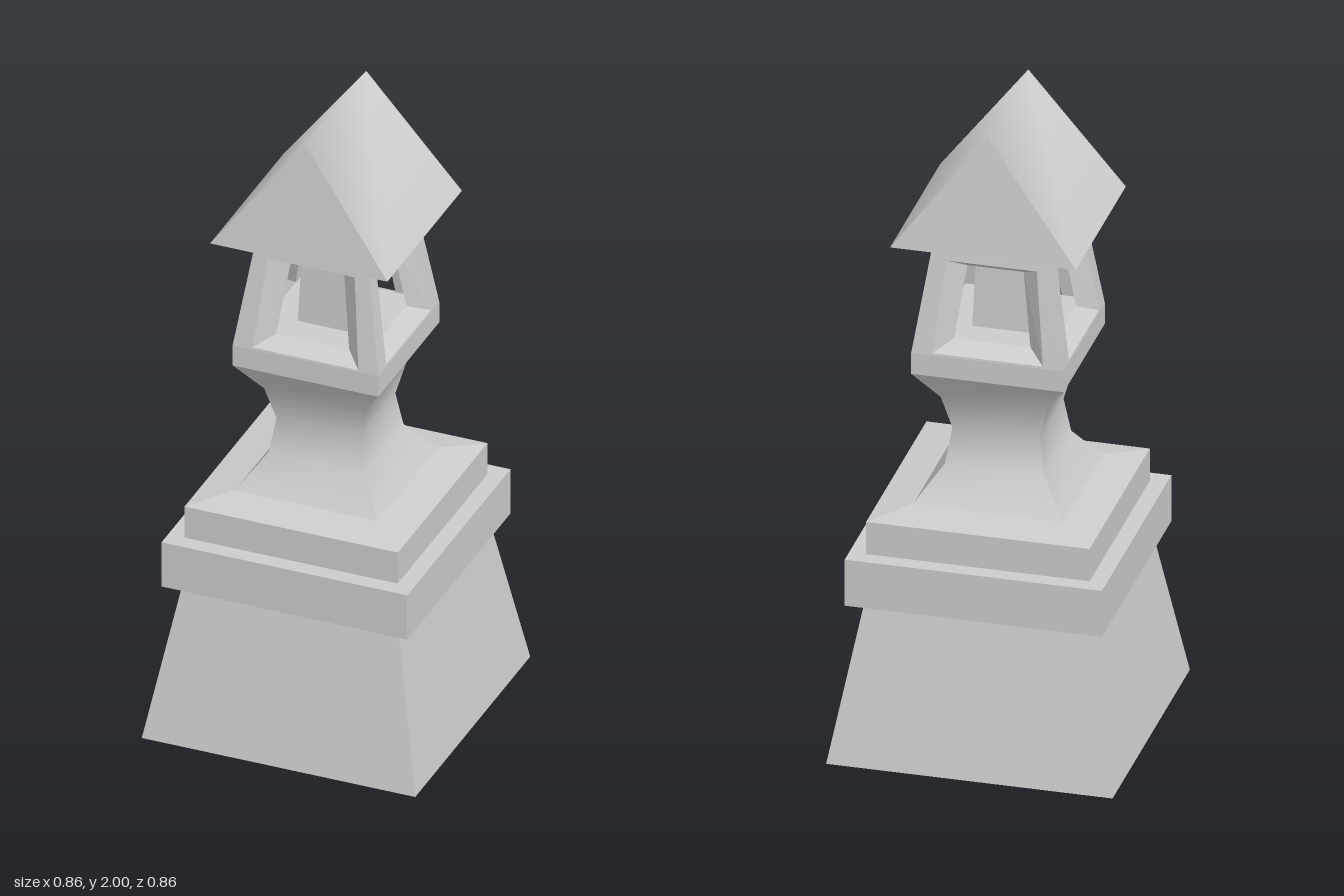
import * as THREE from 'three';
import { mergeGeometries } from 'three/addons/utils/BufferGeometryUtils.js';

const smoothMat = new THREE.MeshStandardMaterial({ color: 0xcccccc });
const flatMat = new THREE.MeshStandardMaterial({ color: 0xcccccc, flatShading: true });

// Square block, tapering from half-width h0 at y0 to h1 at y1
function block(name, y0, h0, y1, h1) {
  const geo = new THREE.CylinderGeometry(h1 * Math.SQRT2, h0 * Math.SQRT2, y1 - y0, 4);
  geo.rotateY(Math.PI / 4).translate(0, (y0 + y1) / 2, 0);
  const mesh = new THREE.Mesh(geo, flatMat);
  mesh.name = name;
  return mesh;
}

// Surface through rows of points; vertices are shared so normals blend along it
function skin(rows, closed = false) {
  const n = rows[0].length;
  const index = [];
  for (let r = 0; r < rows.length - 1; r++) {
    for (let i = 0; i < (closed ? n : n - 1); i++) {
      const j = (i + 1) % n;
      const a = r * n + i, b = r * n + j, c = b + n, d = a + n;
      index.push(a, b, c, a, c, d);
    }
  }
  const geo = new THREE.BufferGeometry();
  geo.setAttribute('position', new THREE.Float32BufferAttribute(rows.flat(2), 3));
  geo.setIndex(index);
  geo.computeVertexNormals();
  return geo;
}

// Repeat one side evenly around the vertical axis
function around(geo, count) {
  const copies = [];
  for (let k = 0; k < count; k++) copies.push(geo.clone().rotateY((k * 2 * Math.PI) / count));
  return mergeGeometries(copies);
}

// Four corners of an upright panel: bottom and top given as [y, half-width, z]
function panelLoop([y0, h0, z0], [y1, h1, z1]) {
  return [[-h0, y0, z0], [h0, y0, z0], [h1, y1, z1], [-h1, y1, z1]];
}

export function createModel() {
  const model = new THREE.Group();
  model.name = 'stoneLantern';
  const add = (name, geo, mat, parent = model) => {
    const mesh = new THREE.Mesh(geo, mat);
    mesh.name = name;
    parent.add(mesh);
  };

  // Stepped pedestal
  model.add(
    block('pedestal', 0, 0.432, 0.5, 0.34),
    block('pedestalBand', 0.5, 0.388, 0.65, 0.388),
    block('pedestalStep', 0.65, 0.337, 0.755, 0.337),
    block('pedestalChamfer', 0.755, 0.337, 0.775, 0.228),
  );

  // Waisted neck: smooth vertically, sharp at the four corners
  const neckProfile = [[0.225, 0.775], [0.15, 0.88], [0.132, 0.99], [0.16, 1.1], [0.23, 1.2]];
  const neckSide = skin(neckProfile.map(([h, y]) => [[-h, y, h], [h, y, h]]));
  add('neck', around(neckSide, 4), smoothMat);

  // Lantern housing with splayed window openings on all sides
  const lantern = new THREE.Group();
  lantern.name = 'lantern';
  model.add(lantern);
  lantern.add(block('lanternSill', 1.2, 0.23, 1.268, 0.23));
  const wall = skin([
    panelLoop([1.268, 0.23, 0.23], [1.63, 0.175, 0.175]),
    panelLoop([1.275, 0.167, 0.229], [1.56, 0.137, 0.186]),
    panelLoop([1.305, 0.115, 0.175], [1.53, 0.085, 0.14]),
    panelLoop([1.305, 0.175, 0.175], [1.53, 0.14, 0.14]),
  ], true);
  add('lanternWalls', around(wall, 4), flatMat, lantern);
  lantern.add(
    block('lanternFloor', 1.268, 0.175, 1.305, 0.175),
    block('lanternCeiling', 1.53, 0.14, 1.63, 0.14),
    block('lanternCore', 1.305, 0.085, 1.53, 0.076),
  );

  // Gabled roof: slopes blend over the ridge, gable ends lean inward
  const e = 0.28, eaveY = 1.63, ridge = 0.228;
  const roof = new THREE.Group();
  roof.name = 'roof';
  model.add(roof);
  add('roofSlopes', skin([
    [[e, eaveY, e], [e, eaveY, -e]],
    [[0, 2, ridge], [0, 2, -ridge]],
    [[-e, eaveY, e], [-e, eaveY, -e]],
  ]), smoothMat, roof);
  const gable = skin([[[-e, eaveY, e], [e, eaveY, e]], [[0, 2, ridge], [0, 2, ridge]]]);
  add('roofGables', around(gable, 2), flatMat, roof);
  add('roofUnderside', skin([
    [[-e, eaveY, -e], [e, eaveY, -e]],
    [[-e, eaveY, e], [e, eaveY, e]],
  ]), flatMat, roof);

  return model;
}
